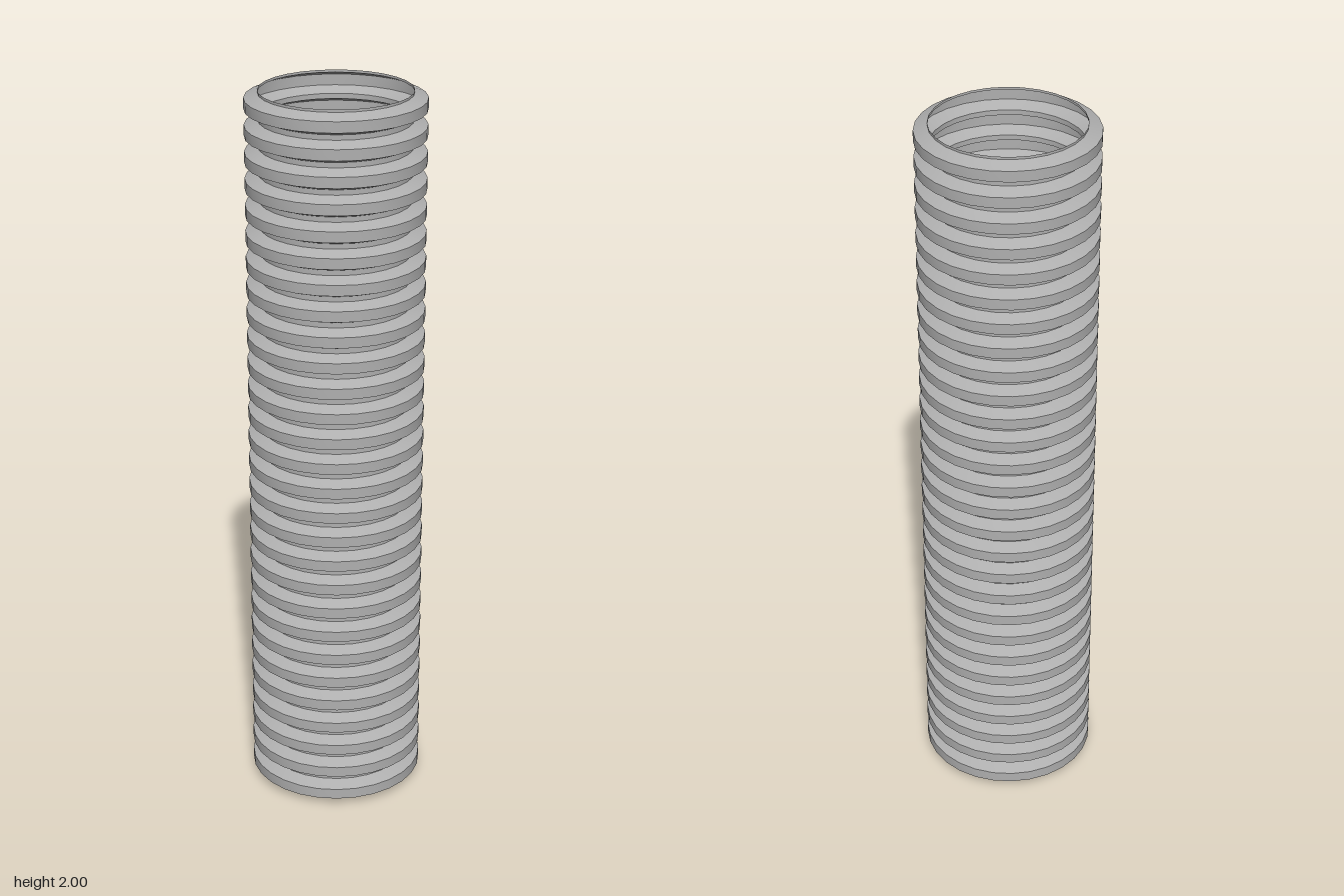
import * as THREE from 'three';
import { toCreasedNormals } from 'three/addons/utils/BufferGeometryUtils.js';

const RIDGES = 28;
const SIDES = 28;
const HEIGHT = 2;
const NECK_RADIUS = 0.203;
const RIDGE_RADIUS = 0.239;

export function createModel() {
  const model = new THREE.Group();
  model.name = 'corrugatedPipe';

  const greyPlastic = new THREE.MeshStandardMaterial({ color: 0xb0b0b0, side: THREE.DoubleSide });
  greyPlastic.name = 'grey plastic';

  // Wall profile: each ridge rises from a short neck, over a flat crest, and back down
  const pitch = HEIGHT / RIDGES;
  const neck = 0.007;
  const slope = 0.014;
  const profile = [new THREE.Vector2(NECK_RADIUS, 0)];
  for (let i = 0; i < RIDGES; i++) {
    const bottom = i * pitch;
    const top = bottom + pitch;
    profile.push(
      new THREE.Vector2(NECK_RADIUS, bottom + neck),
      new THREE.Vector2(RIDGE_RADIUS, bottom + neck + slope),
      new THREE.Vector2(RIDGE_RADIUS, top - neck - slope),
      new THREE.Vector2(NECK_RADIUS, top - neck)
    );
  }
  profile.push(new THREE.Vector2(NECK_RADIUS, HEIGHT));

  // Open tube, smooth around its axis and crisp at every ridge
  const geometry = toCreasedNormals(new THREE.LatheGeometry(profile, SIDES), 0.5);
  const pipe = new THREE.Mesh(geometry, greyPlastic);
  pipe.name = 'ribbedTube';
  model.add(pipe);

  return model;
}
